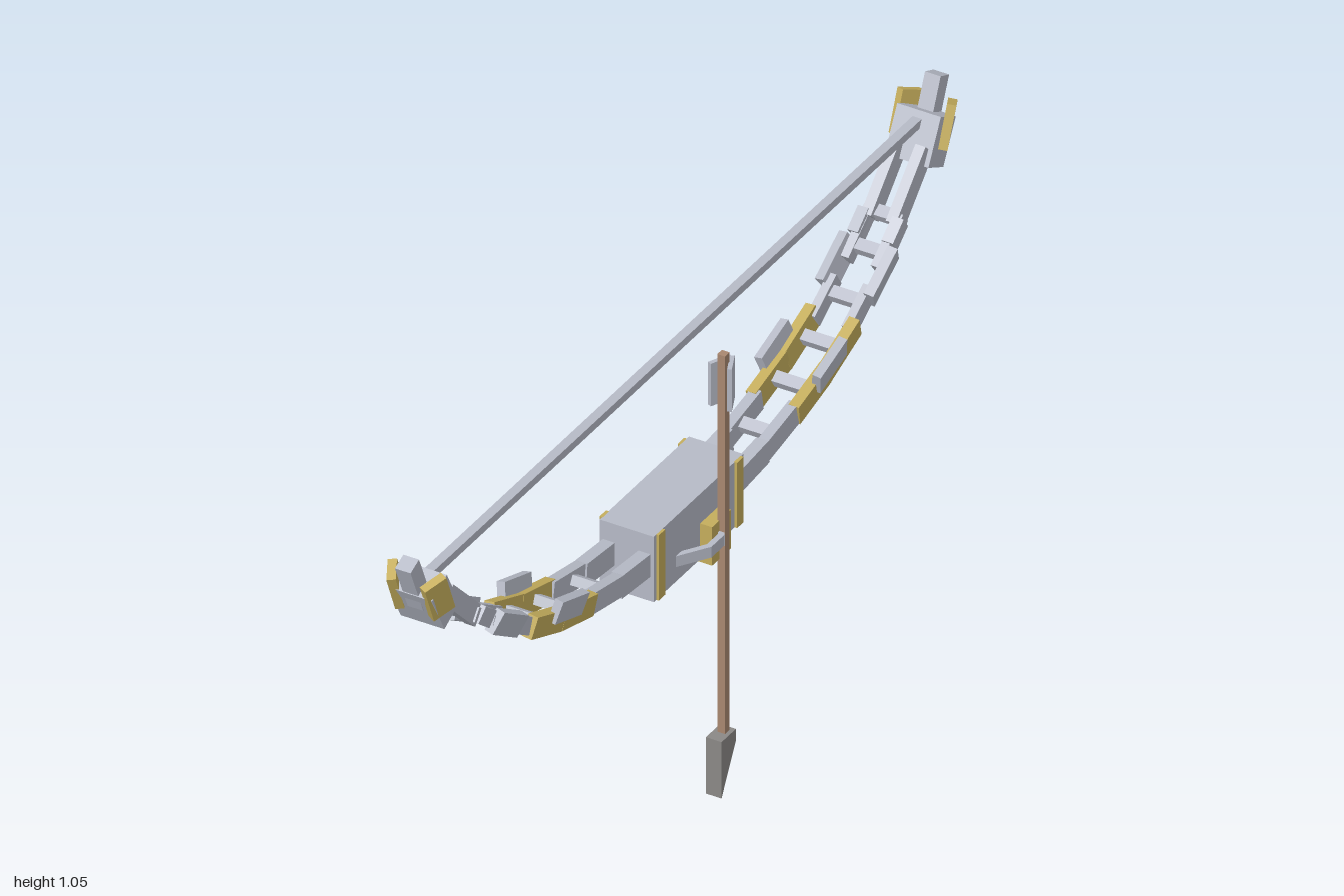
import * as THREE from 'three';

const mat = (name, color) => {
  const m = new THREE.MeshStandardMaterial({ color });
  m.name = name;
  return m;
};

export function createModel() {
  const steel = mat('steel', 0xb6bac6);
  const gold = mat('gold', 0xc4ad5c);
  const wood = mat('wood', 0xa88770);
  const iron = mat('iron', 0x8a8886);
  const bow = new THREE.Group();
  bow.name = 'bow';
  const cx = -0.009; // middle plane of the bow

  const add = (name, geo, m, x = 0, y = 0, z = 0) => {
    const mesh = new THREE.Mesh(geo, m);
    mesh.name = name;
    mesh.position.set(x, y, z);
    bow.add(mesh);
    return mesh;
  };
  const box = (name, w, h, d, m, x, y, z) => add(name, new THREE.BoxGeometry(w, h, d), m, x, y, z);

  // Box running between two (z, y) points, rolled about its own length
  const bar = (name, m, x, w, h, z1, y1, z2, y2, roll = 0) => {
    const mesh = box(name, w, h, Math.hypot(z2 - z1, y2 - y1), m, x, (y1 + y2) / 2, (z1 + z2) / 2);
    mesh.rotation.order = 'XYZ';
    mesh.rotation.x = -Math.atan2(y2 - y1, z2 - z1);
    // keep local +y upright when the bar runs towards -z
    if (z2 < z1) mesh.rotation.x = Math.atan2(y2 - y1, z1 - z2);
    mesh.rotation.z = roll;
    return mesh;
  };

  // Grip block with gold bands on its sides
  box('grip', 0.118, 0.146, 0.33, steel, cx, 0.592, 0.002);
  for (const sx of [-1, 1])
    for (const z of [-0.143, 0.146])
      box('gripBand', 0.007, 0.146, 0.024, gold, cx + sx * 0.061, 0.592, z);

  // Hexagonal guards either side of the grip
  for (const sx of [-1, 1]) {
    const pts = [[0.056, 0.08], [0.094, 0.022], [0.094, -0.022], [0.056, -0.08]];
    for (let i = 0; i < 3; i++) {
      const [x1, z1] = pts[i], [x2, z2] = pts[i + 1];
      const g = box('guard', 0.012, 0.024, Math.hypot(x2 - x1, z2 - z1) + 0.006, steel,
        cx + sx * (x1 + x2) / 2, 0.564, (z1 + z2) / 2);
      g.rotation.y = Math.atan2(sx * (x2 - x1), z2 - z1);
    }
  }

  // Limb rails and plates: name, material, x offset, width, height, z1, y1, z2, y2, flare
  const rails = [
    ['innerRail', steel, 0.039, 0.026, 0.05, 0.15, 0.597, 0.27, 0.608, 0],
    ['innerRail', steel, 0.041, 0.022, 0.045, 0.26, 0.608, 0.385, 0.632, 0],
    ['goldRail', gold, 0.045, 0.022, 0.046, 0.375, 0.63, 0.49, 0.66, 0.08],
    ['goldRail', gold, 0.045, 0.022, 0.046, 0.485, 0.658, 0.6, 0.703, 0.12],
    ['limbPlate', steel, 0.059, 0.018, 0.048, 0.432, 0.67, 0.53, 0.702, 0.2],
    ['middleRail', steel, 0.038, 0.018, 0.036, 0.585, 0.695, 0.665, 0.745, 0],
    ['limbPlate', steel, 0.048, 0.02, 0.048, 0.645, 0.735, 0.735, 0.792, 0.25],
    ['outerRail', steel, 0.033, 0.018, 0.03, 0.70, 0.767, 0.79, 0.835, 0],
    ['railBlock', steel, 0.036, 0.024, 0.036, 0.74, 0.8, 0.78, 0.832, 0.1],
    ['tipRail', steel, 0.027, 0.022, 0.042, 0.775, 0.822, 0.885, 0.932, 0],
  ];
  // Cross rungs: z, y, width
  const rungs = [[0.31, 0.62, 0.08], [0.44, 0.648, 0.09], [0.545, 0.682, 0.108],
    [0.64, 0.728, 0.08], [0.725, 0.788, 0.095], [0.785, 0.832, 0.07]];

  for (const s of [-1, 1]) {
    for (const sx of [-1, 1]) {
      for (const [name, m, off, w, h, z1, y1, z2, y2, flare] of rails)
        bar(name, m, cx + sx * off, w, h, s * z1, y1, s * z2, y2, -sx * flare);
      // Gold ears at the tip
      bar('tipEar', gold, cx + sx * 0.045, 0.018, 0.05, s * 0.924, 0.919, s * 0.957, 1.002, -sx * 0.45);
    }
    for (const [z, y, w] of rungs)
      bar('rung', steel, cx, w, 0.02, s * (z - 0.011), y - 0.006, s * (z + 0.011), y + 0.006);
    // Tip block and nock
    bar('tipBlock', steel, cx, 0.095, 0.062, s * 0.892, 0.892, s * 0.938, 0.98);
    bar('tipNock', steel, cx, 0.034, 0.034, s * 0.93, 0.93, s * 0.977, 1.04);
  }

  // Bowstring
  box('bowstring', 0.02, 0.017, 1.82, steel, cx, 0.973, 0);

  // Arrow shaft hanging through its gold rest
  const ax = 0.08, az = -0.039;
  box('arrowRest', 0.036, 0.086, 0.07, gold, 0.058, 0.556, az);
  box('arrowShaft', 0.017, 0.86, 0.017, wood, ax, 0.54, az);

  // Two fletching plates meeting in a ridge behind the shaft
  for (const sx of [-1, 1]) {
    const f = box('fletching', 0.009, 0.095, 0.048, steel, ax + sx * 0.012, 0.902, -0.046);
    f.rotation.y = sx * 0.42;
  }

  // Wedge-shaped arrowhead
  const head = new THREE.Shape();
  head.moveTo(0, 0);
  head.lineTo(0.053, 0.1);
  head.lineTo(0.053, 0.126);
  head.lineTo(0, 0.126);
  head.closePath();
  const headGeo = new THREE.ExtrudeGeometry(head, { depth: 0.034, bevelEnabled: false });
  headGeo.translate(0, 0, -0.017).rotateY(Math.PI / 2);
  add('arrowhead', headGeo, iron, ax, 0, -0.003);

  return bow;
}
